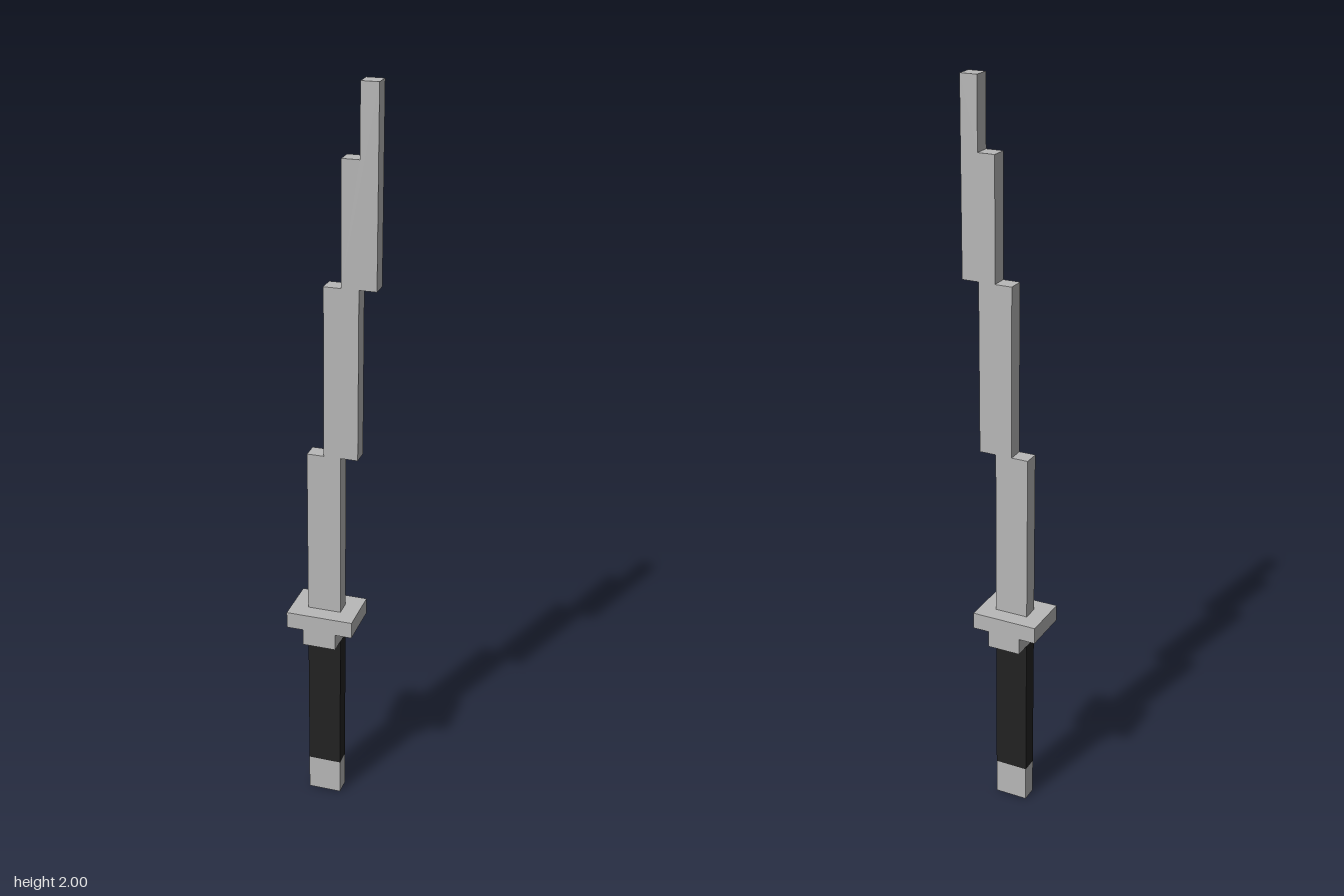
import * as THREE from 'three';

const U = 2 / 44; // one block unit; the sword is 44 units tall

export function createModel() {
  const sword = new THREE.Group();
  sword.name = 'sword';

  const steel = new THREE.MeshStandardMaterial({ color: 0xb8b8b8 });
  steel.name = 'steel grey';
  const grip = new THREE.MeshStandardMaterial({ color: 0x222222 });
  grip.name = 'grip black';

  // Extrudes an outline given in block units, centred on z = 0
  function slab(name, points, depth, material) {
    const shape = new THREE.Shape(points.map(([x, y]) => new THREE.Vector2(x * U, y * U)));
    const geometry = new THREE.ExtrudeGeometry(shape, { depth: depth * U, bevelEnabled: false });
    geometry.translate(0, 0, -depth * U / 2);
    const mesh = new THREE.Mesh(geometry, material);
    mesh.name = name;
    sword.add(mesh);
  }

  const rect = (x0, x1, y0, y1) => [[x0, y0], [x1, y0], [x1, y1], [x0, y1]];

  // Pommel and wrapped handle
  slab('pommel', rect(-1.5, 0.5, 0, 2.2), 1, steel);
  slab('handle', rect(-1.5, 0.5, 2.2, 11), 1, grip);

  // Guard: wide plate above a narrower collar
  slab('guard', [
    [-1.5, 11], [0.5, 11], [0.5, 12], [1.5, 12],
    [1.5, 13], [-2.5, 13], [-2.5, 12], [-1.5, 12],
  ], 3, steel);

  // Blade stepping sideways towards the tip
  slab('blade', [
    [-1.5, 13], [0.5, 13], [0.5, 23], [1.5, 23], [1.5, 33], [2.5, 33],
    [2.5, 44], [1.5, 44], [1.5, 40], [0.5, 40], [0.5, 33], [-0.5, 33],
    [-0.5, 23], [-1.5, 23],
  ], 1, steel);

  return sword;
}
